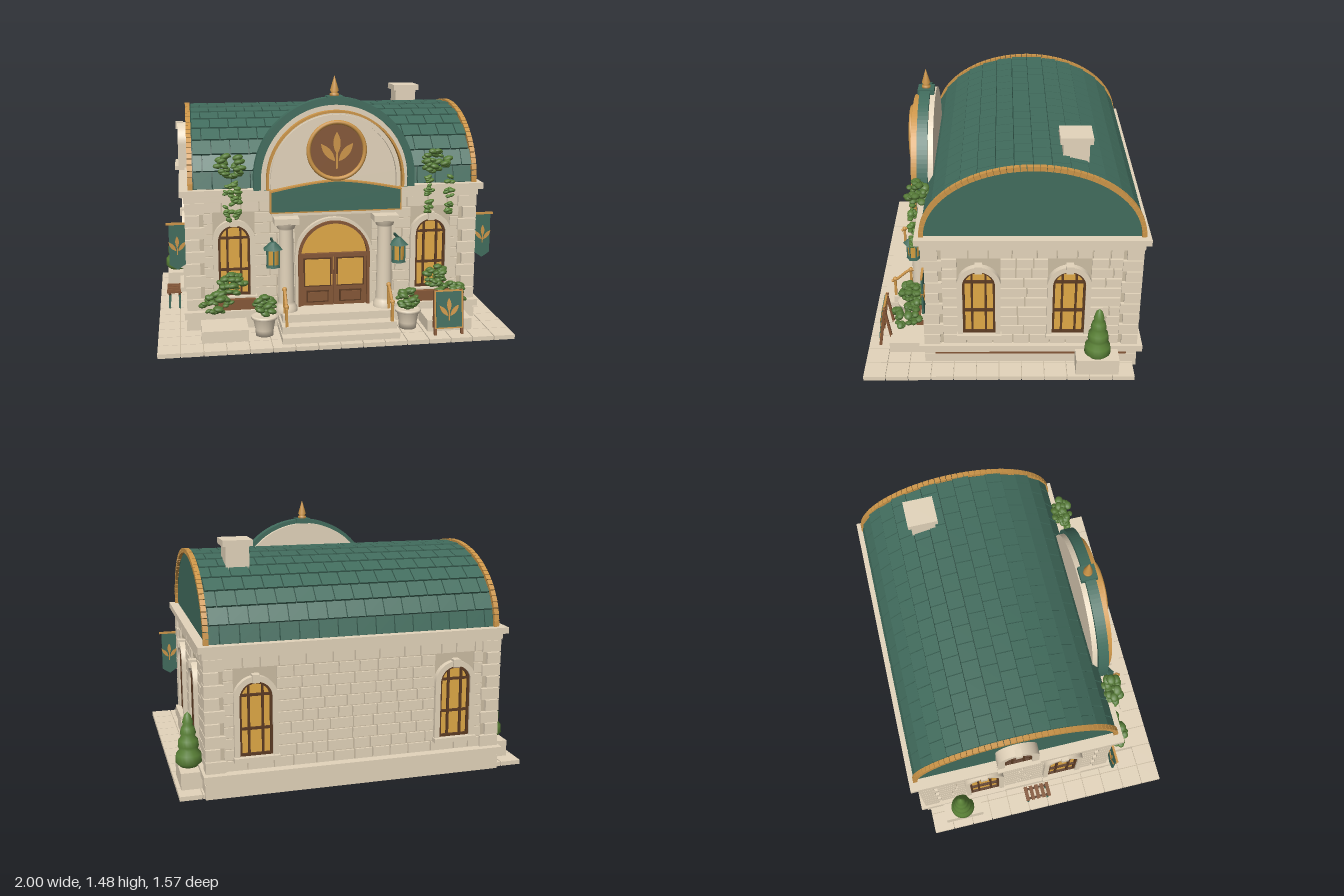
import * as THREE from 'three';
import { mergeGeometries } from 'three/addons/utils/BufferGeometryUtils.js';

const material = (name, color) => Object.assign(new THREE.MeshStandardMaterial({ color }), { name });
const stone = material('stone', 0xe3d4bb), mortar = material('mortar', 0xccbda3);
const teal = material('teal', 0x416c5d), darkTeal = material('darkTeal', 0x2b4d42);
const amber = material('amberGlass', 0xe0a946), gold = material('gold', 0xcc9548);
const brown = material('brownWood', 0x855737), darkBrown = material('darkWood', 0x5c3b23);
const leaf = material('leafGreen', 0x557a36), hedge = material('hedgeGreen', 0x5c8438);

let seed = 7;
const rand = () => (seed = (seed * 16807) % 2147483647) / 2147483647;

function add(parent, name, geo, mat, x = 0, y = 0, z = 0) {
  const m = new THREE.Mesh(geo, mat);
  m.name = name;
  m.position.set(x, y, z);
  parent.add(m);
  return m;
}
function group(parent, name, x = 0, y = 0, z = 0) {
  const g = new THREE.Group();
  g.name = name;
  g.position.set(x, y, z);
  parent.add(g);
  return g;
}
const boxGeo = (w, h, d, x, y, z) => new THREE.BoxGeometry(w, h, d).translate(x, y, z);
const box = (p, name, mat, w, h, d, x, y, z) => add(p, name, new THREE.BoxGeometry(w, h, d), mat, x, y, z);
const extrude = (shape, depth) => new THREE.ExtrudeGeometry(shape, { depth, bevelEnabled: false, curveSegments: 28 });
const lathe = (pts, n = 20) => new THREE.LatheGeometry(pts.map(p => new THREE.Vector2(...p)), n);

// Round-topped opening outline
function arch(w, y0, spring, Type = THREE.Shape) {
  const s = new Type();
  s.moveTo(-w, y0).lineTo(w, y0).lineTo(w, spring);
  s.absarc(0, spring, w, 0, Math.PI, false);
  s.lineTo(-w, y0);
  return s;
}
function archRing(outer, inner, y0, spring, depth) {
  const s = arch(outer, y0, spring);
  s.holes.push(arch(inner, y0 + 0.001, spring, THREE.Path));
  return extrude(s, depth);
}

// Three slim leaves on a short stem
function emblem(parent, h, x, y, z) {
  const g = group(parent, 'leafEmblem', x, y, z);
  const s = new THREE.Shape();
  s.moveTo(0, 0).quadraticCurveTo(h * 0.19, h * 0.3, 0, h * 0.6).quadraticCurveTo(-h * 0.19, h * 0.3, 0, 0);
  for (const a of [-1, 0, 1]) {
    const m = add(g, 'emblemLeaf', extrude(s, 0.008), gold, -a * h * 0.05, a ? -h * 0.28 : -h * 0.1);
    m.rotation.z = a * 0.68;
  }
  box(g, 'emblemStem', gold, h * 0.05, h * 0.4, 0.008, 0, -h * 0.28, 0.004);
  return g;
}

function arched(parent, x, z, w, y0, spring, rim = 0.03) {
  const g = group(parent, 'archedWindow', x, 0, z), top = spring + w, h = top - y0;
  add(g, 'windowSurround', archRing(w + rim, w, y0 - 0.01, spring, 0.035), stone);
  add(g, 'windowGlass', extrude(arch(w, y0, spring), 0.008), amber);
  add(g, 'windowFrame', archRing(w, w - 0.013, y0, spring, 0.022), darkBrown);
  for (const s of [-1, 1]) box(g, 'windowMullion', darkBrown, 0.012, h - w * 0.15, 0.02, s * w * 0.42, y0 + (h - w * 0.15) / 2, 0.012);
  for (const f of [0.02, 0.37, 0.82]) box(g, 'windowBar', darkBrown, w * 1.96, 0.013, 0.02, 0, y0 + h * f, 0.012);
  box(g, 'windowSill', stone, (w + rim) * 2 + 0.01, 0.025, 0.055, 0, y0 - 0.012, 0.0275);
  box(g, 'keystone', stone, w * 0.45, 0.045, 0.045, 0, top + rim * 0.6, 0.0225);
}

// One facade: coursed blocks around openings, then the windows
function facade(parent, name, angle, dist, half, windows, door = 0) {
  const g = group(parent, name, 0, 0, -0.15), rows = 10, rh = 0.063;
  g.rotation.y = angle;
  const geos = [];
  for (let r = 0; r < rows; r++) {
    const y = 0.14 + r * rh, gaps = [];
    if (y + rh > 0.22 && y < 0.645) windows.forEach(x => gaps.push([x - 0.115, x + 0.115]));
    if (door && y < 0.66) gaps.push([-door, door]);
    gaps.sort((a, b) => a[0] - b[0]);
    let start = -half + 0.08;
    for (const [a, b] of [...gaps, [half - 0.08, 0]]) {
      for (let x = start; x < a - 0.01;) {
        let w = 0.08 + rand() * 0.07;
        if (a - x - w < 0.05) w = a - x;
        geos.push(boxGeo(w - 0.008, rh - 0.008, 0.024, x + w / 2, y + rh / 2, dist));
        x += w;
      }
      start = b;
    }
  }
  add(g, 'wallBlocks', mergeGeometries(geos), stone);
  for (const x of windows) arched(g, x, dist, 0.09, 0.225, 0.547);
}

// Loose clump of leaves filling an ellipsoid
function foliage(parent, name, mat, n, size, x, y, z, rx, ry, rz) {
  const geos = [];
  for (let i = 0; i < n; i++) {
    const a = rand() * 6.283, v = rand() * 2 - 1, k = Math.sqrt(1 - v * v) * (0.6 + rand() * 0.4), r = size * (0.7 + rand() * 0.5);
    geos.push(new THREE.IcosahedronGeometry(r, 1).scale(1.2, 0.65, 1).rotateZ(rand() - 0.5)
      .translate(x + rx * k * Math.cos(a), y + ry * v, z + rz * k * Math.sin(a)));
  }
  add(parent, name, mergeGeometries(geos), mat);
}

function buildRoof(b) {
  const g = group(b, 'barrelRoof', 0.007, 0, -0.15);
  const s = new THREE.Shape();
  s.moveTo(0.585, 0.845).absellipse(0, 0.845, 0.585, 0.4, 0, Math.PI, false);
  add(g, 'roofVault', extrude(s, 1.63).translate(0, 0, -0.815).rotateY(Math.PI / 2), [teal, darkTeal]);
  // Shingle courses follow the vault
  const along = (a, h, n, fn) => {
    const p = new THREE.EllipseCurve(0, 0.845, a, h, 0, Math.PI).getSpacedPoints(n);
    for (let i = 0; i < n; i++) {
      const d = p[i + 1].clone().sub(p[i]);
      fn((p[i].x + p[i + 1].x) / 2, (p[i].y + p[i + 1].y) / 2, Math.atan2(d.y, d.x), d.length(), i);
    }
  };
  const tiles = [], beads = [];
  along(0.59, 0.404, 16, (z, y, phi, len, i) => {
    const turn = -(phi + (z > 0 ? 0.06 : -0.06)), w = 1.6 / 15;
    for (let k = 0; k < (i % 2 ? 16 : 15); k++) {
      const x0 = Math.max(-0.8, -0.8 + (k - (i % 2) / 2) * w), x1 = Math.min(0.82, -0.8 + (k + 1 - (i % 2) / 2) * w);
      tiles.push(new THREE.BoxGeometry(x1 - x0 - 0.006, 0.018, len - 0.004).rotateX(turn).translate((x0 + x1) / 2, y, z));
    }
  });
  along(0.594, 0.408, 46, (z, y, phi, len) => {
    for (const x of [-0.817, 0.819]) beads.push(new THREE.BoxGeometry(0.028, 0.026, len - 0.003).rotateX(-phi).translate(x, y, z));
  });
  add(g, 'roofShingles', mergeGeometries(tiles), teal);
  add(g, 'roofEdgeBeads', mergeGeometries(beads), gold);
  box(g, 'chimney', stone, 0.13, 0.25, 0.14, 0.59, 1.2, -0.23);
  box(g, 'chimneyCap', stone, 0.165, 0.035, 0.175, 0.59, 1.33, -0.23);
  // Attic window in one end
  const end = group(g, 'atticEnd');
  end.rotation.y = -Math.PI / 2;
  add(end, 'atticBacking', extrude(arch(0.12, 0.89, 1.03), 0.035), stone, 0, 0, 0.81);
  arched(end, 0, 0.845, 0.08, 0.9, 1.03, 0.04);
}

function buildGable(b) {
  const g = group(b, 'frontGable');
  add(g, 'gableWall', extrude(arch(0.435, 0.84, 0.895), 0.085), stone, 0, 0, 0.4);
  add(g, 'gableRim', archRing(0.46, 0.418, 0.84, 0.895, 0.06), teal, 0, 0, 0.43);
  add(g, 'gableGoldBand', archRing(0.39, 0.378, 0.845, 0.895, 0.045), gold, 0, 0, 0.485);
  add(g, 'gableMoulding', archRing(0.365, 0.35, 0.845, 0.895, 0.02), stone, 0, 0, 0.485);
  add(g, 'medallion', new THREE.CylinderGeometry(0.155, 0.155, 0.06, 40).rotateX(Math.PI / 2), brown, 0, 1.065, 0.515);
  add(g, 'medallionRing', new THREE.TorusGeometry(0.158, 0.012, 10, 48), gold, 0, 1.065, 0.545);
  emblem(g, 0.21, 0, 1.065, 0.545);
  box(g, 'gableCrown', teal, 0.09, 0.03, 0.095, 0, 1.345, 0.455);
  add(g, 'finial', lathe([[0, 1.355], [0.026, 1.355], [0.026, 1.372], [0.016, 1.378], [0.025, 1.39], [0, 1.475]]), gold, 0, 0, 0.455);
  // Sign board with a bowed top
  const board = e => {
    const s = new THREE.Shape();
    s.moveTo(-0.365 - e, 0.725 - e).lineTo(0.365 + e, 0.725 - e).lineTo(0.365 + e, 0.835 + e);
    return s.quadraticCurveTo(0.14, 0.885 + e, 0, 0.89 + e).quadraticCurveTo(-0.14, 0.885 + e, -0.365 - e, 0.835 + e);
  };
  add(g, 'signTrim', extrude(board(0.008), 0.035), gold, 0, 0, 0.507);
  add(g, 'signBoard', extrude(board(0), 0.04), teal, 0, 0, 0.505);
  box(g, 'entablature', stone, 0.72, 0.15, 0.09, 0, 0.77, 0.465);
}

function buildEntrance(b) {
  const g = group(b, 'entrance');
  add(g, 'doorSurround', archRing(0.225, 0.205, 0.14, 0.44, 0.03), stone, 0, 0, 0.43);
  add(g, 'doorFrame', archRing(0.208, 0.192, 0.14, 0.44, 0.045), brown, 0, 0, 0.43);
  add(g, 'fanlight', extrude(arch(0.195, 0.14, 0.44), 0.012), amber, 0, 0, 0.43);
  box(g, 'transom', brown, 0.39, 0.02, 0.035, 0, 0.445, 0.45);
  for (const s of [-1, 1]) {
    box(g, 'doorLeaf', brown, 0.188, 0.295, 0.02, s * 0.096, 0.288, 0.45);
    box(g, 'doorPaneFrame', darkBrown, 0.16, 0.17, 0.006, s * 0.096, 0.345, 0.462);
    box(g, 'doorPane', amber, 0.145, 0.155, 0.006, s * 0.096, 0.345, 0.466);
    box(g, 'doorPanel', darkBrown, 0.13, 0.07, 0.008, s * 0.096, 0.2, 0.462);
    box(g, 'doorPanelCentre', brown, 0.112, 0.054, 0.008, s * 0.096, 0.2, 0.466);
    box(g, 'doorHandle', gold, 0.008, 0.06, 0.015, s * 0.015, 0.3, 0.47);
    // Columns
    add(g, 'column', lathe([[0.062, 0.14], [0.062, 0.165], [0.05, 0.185], [0.046, 0.2], [0.04, 0.62], [0.05, 0.63], [0.06, 0.66]]), stone, s * 0.283, 0, 0.515);
    box(g, 'columnCapital', stone, 0.14, 0.035, 0.12, s * 0.283, 0.673, 0.51);
    // Stair rails
    const x = s * 0.3;
    box(g, 'railPostBack', gold, 0.015, 0.16, 0.015, x, 0.21, 0.57);
    box(g, 'railPostFront', gold, 0.015, 0.17, 0.015, x, 0.125, 0.67);
    const path = new THREE.CatmullRomCurve3([[0.55, 0.285], [0.58, 0.28], [0.66, 0.215], [0.69, 0.2]].map(p => new THREE.Vector3(x, p[1], p[0])));
    add(g, 'handrail', new THREE.TubeGeometry(path, 12, 0.009, 8), gold);
    for (const z of [0.57, 0.67]) add(g, 'railKnob', new THREE.SphereGeometry(0.014, 12, 8), gold, x, z < 0.6 ? 0.285 : 0.215, z);
    // Wall lantern
    const l = group(g, 'lantern', s * 0.36, 0, 0.54);
    box(l, 'lanternArm', darkTeal, 0.012, 0.012, 0.12, 0, 0.55, -0.06);
    add(l, 'lanternRoof', new THREE.CylinderGeometry(0.016, 0.06, 0.04, 6), teal, 0, 0.535);
    add(l, 'lanternGlass', new THREE.CylinderGeometry(0.038, 0.034, 0.09, 6), amber, 0, 0.47);
    add(l, 'lanternBase', new THREE.CylinderGeometry(0.04, 0.044, 0.016, 6), teal, 0, 0.419);
    for (let i = 0; i < 6; i++) {
      const a = i * Math.PI / 3;
      box(l, 'lanternPost', teal, 0.008, 0.1, 0.008, Math.sin(a) * 0.037, 0.47, Math.cos(a) * 0.037);
    }
  }
  [[0.33, 0.745, 0.06], [0.325, 0.68, 0.1], [0.315, 0.61, 0.145]].forEach(([w, z, h]) =>
    box(g, 'step', stone, w * 2, h - 0.02, z - 0.42, 0, (h + 0.02) / 2, (z + 0.42) / 2));
}

function buildGarden(b) {
  const g = group(b, 'garden');
  for (const s of [-1, 1]) {
    // Clipped tree on a plinth
    box(g, 'treePlanter', stone, 0.12, 0.1, 0.24, s * 0.905, 0.07, -0.52);
    add(g, 'clippedTree', lathe([[0.05, 0.12], [0.074, 0.145], [0.07, 0.19], [0.05, 0.215], [0.058, 0.235], [0.054, 0.27], [0.038, 0.29], [0.044, 0.31],
      [0.036, 0.34], [0.026, 0.355], [0.03, 0.37], [0.018, 0.41], [0, 0.43]]), hedge, s * 0.905, 0, -0.52);
    // Urn, window box, low planter and their plants
    add(g, 'urn', lathe([[0, 0.025], [0.05, 0.025], [0.052, 0.06], [0.064, 0.12], [0.075, 0.125], [0.075, 0.14], [0.06, 0.14], [0, 0.13]]), stone, s * 0.415, 0, 0.57);
    foliage(g, 'urnPlant', leaf, 32, 0.022, s * 0.415, 0.195, 0.57, 0.062, 0.05, 0.06);
    box(g, 'windowBox', brown, 0.23, 0.06, 0.07, s * 0.572, 0.187, 0.475);
    box(g, 'lowPlanter', stone, 0.26, 0.07, 0.2, s * 0.64, 0.055, 0.56);
    foliage(g, 'windowPlant', leaf, 32, 0.022, s * 0.59, 0.305, 0.51, 0.075, 0.06, 0.07);
    foliage(g, 'lowerPlant', leaf, 34, 0.022, s * 0.68, 0.22, 0.56, 0.085, 0.05, 0.08);
    // Ivy over the eaves
    foliage(g, 'roofIvy', leaf, 34, 0.022, s * 0.59, 0.98, 0.48, 0.08, 0.062, 0.055);
    for (const x of s < 0 ? [-0.6, -0.56] : [0.54, 0.66]) foliage(g, 'ivyStrand', hedge, 24, 0.016, x, 0.79, 0.51, 0.022, 0.11, 0.008);
    // Hanging pennant
    const p = group(g, 'pennant', s * 0.89, 0, 0.435);
    const shape = new THREE.Shape();
    shape.moveTo(-0.045, 0.65).lineTo(-0.045, 0.42).lineTo(0, 0.39).lineTo(0.045, 0.42).lineTo(0.045, 0.65);
    add(p, 'pennantCloth', extrude(shape, 0.01), teal);
    emblem(p, 0.11, 0, 0.53, 0.006);
    emblem(p, 0.11, 0, 0.53, 0.004).rotation.y = Math.PI;
    box(p, 'pennantRod', gold, 0.13, 0.012, 0.012, -s * 0.005, 0.655, 0.005);
  }
  // Easel sign
  const e = group(g, 'easelSign', 0.617, 0, 0.73);
  const front = group(e, 'easelFront');
  front.rotation.x = -0.14;
  box(front, 'easelFrame', gold, 0.165, 0.22, 0.012, 0, 0.17, 0);
  box(front, 'easelBoard', teal, 0.148, 0.203, 0.012, 0, 0.17, 0.004);
  emblem(front, 0.13, 0, 0.17, 0.008);
  for (const s of [-1, 1]) {
    box(front, 'easelLeg', brown, 0.016, 0.26, 0.016, s * 0.078, 0.15, -0.004);
    box(e, 'easelBackLeg', brown, 0.014, 0.26, 0.014, s * 0.07, 0.15, -0.06).rotation.x = 0.16;
  }
  // Slatted bench
  const n = group(g, 'bench', -0.92, 0, -0.03);
  for (let i = 0; i < 5; i++) box(n, 'benchSlat', brown, 0.09, 0.012, 0.022, 0, 0.13, -0.07 + i * 0.035);
  for (const x of [-0.03, 0.03]) {
    box(n, 'benchRail', darkBrown, 0.012, 0.012, 0.16, x, 0.118, 0);
    for (const z of [-0.065, 0.065]) box(n, 'benchLeg', teal, 0.012, 0.1, 0.012, x, 0.07, z);
  }
}

export function createModel() {
  const root = new THREE.Group();
  root.name = 'stonePavilion';
  // Paved ground
  box(root, 'pavingBed', mortar, 1.98, 0.015, 1.5, 0, 0.0105, 0.03);
  const paving = [];
  for (let i = 0; i < 16; i++) for (let j = 0; j < 12; j++) {
    const x = -0.9375 + i * 0.125, z = -0.667 + j * 0.1267;
    if (Math.abs(x) > 0.75 || z > 0.35) paving.push(boxGeo(0.12, 0.025, 0.122, x, 0.0125, z));
  }
  add(root, 'pavingSlabs', mergeGeometries(paving), stone);

  const b = group(root, 'building', 0.0125);
  const tier = (name, mat, w, d, y0, y1) => box(b, name, mat, w * 2, y1 - y0, d * 2, 0, (y0 + y1) / 2, -0.15);
  tier('foundation', stone, 0.85, 0.6, 0, 0.08);
  tier('foundationBand', brown, 0.852, 0.54, 0.08, 0.1);
  tier('foundationCore', stone, 0.845, 0.6, 0.08, 0.1);
  tier('plinth', stone, 0.86, 0.63, 0.1, 0.14);
  tier('wallCore', mortar, 0.825, 0.575, 0.14, 0.78);
  tier('frieze', stone, 0.85, 0.605, 0.77, 0.81);
  tier('cornice', stone, 0.873, 0.632, 0.81, 0.845);
  facade(b, 'frontWall', 0, 0.575, 0.825, [-0.572, 0.572], 0.22);
  facade(b, 'backWall', Math.PI, 0.575, 0.825, [-0.57, 0.57]);
  facade(b, 'rightWall', Math.PI / 2, 0.825, 0.575, [-0.29, 0.205]);
  facade(b, 'leftWall', -Math.PI / 2, 0.825, 0.575, [-0.205, 0.29]);
  // Corner quoins
  const quoins = [];
  for (const sx of [-1, 1]) for (const sz of [-1, 1]) for (let i = 0; i < 9; i++) {
    const w = i % 2 ? 0.08 : 0.11, d = i % 2 ? 0.11 : 0.09;
    quoins.push(boxGeo(w, 0.064, d, sx * (0.845 - w / 2), 0.175 + i * 0.07, -0.15 + sz * (0.6 - d / 2)));
  }
  add(b, 'cornerQuoins', mergeGeometries(quoins), stone);
  buildRoof(b);
  buildGable(b);
  buildEntrance(b);
  buildGarden(b);
  return root;
}
